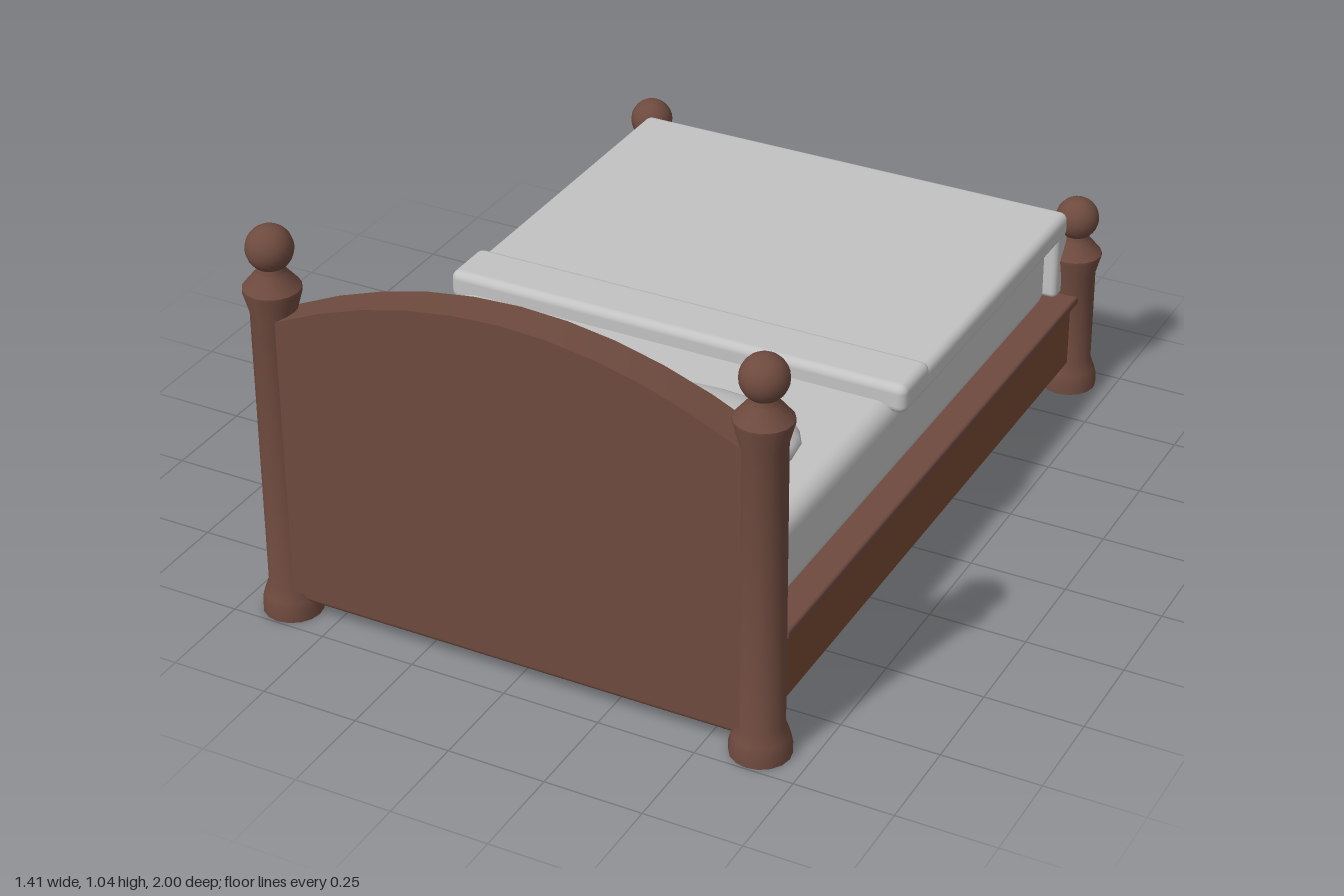
import * as THREE from 'three';
import { toCreasedNormals } from 'three/addons/utils/BufferGeometryUtils.js';
import { RoundedBoxGeometry } from 'three/addons/geometries/RoundedBoxGeometry.js';

export function createModel() {
  const bed = new THREE.Group();
  bed.name = 'bed';

  const mat = (name, color) => {
    const m = new THREE.MeshStandardMaterial({ color });
    m.name = name;
    return m;
  };
  const wood = mat('dark wood', 0x6e4a3e);
  const railWood = mat('rail wood', 0x744830);
  const panelWood = mat('golden panel wood', 0x94703f);
  const linen = mat('grey linen', 0xc2c2c2);

  const add = (name, geometry, material, x = 0, y = 0, z = 0, parent = bed) => {
    const mesh = new THREE.Mesh(geometry, material);
    mesh.name = name;
    mesh.position.set(x, y, z);
    parent.add(mesh);
    return mesh;
  };

  // Box given by its extents on each axis, optionally with rounded edges
  const box = (name, material, [x0, x1], [y0, y1], [z0, z1], radius = 0) => {
    const size = [x1 - x0, y1 - y0, z1 - z0];
    const geometry = radius
      ? new RoundedBoxGeometry(...size, 3, radius)
      : new THREE.BoxGeometry(...size);
    return add(name, geometry, material, (x0 + x1) / 2, (y0 + y1) / 2, (z0 + z1) / 2);
  };

  // Upright board with an arched top edge
  const archedBoard = (name, material, halfWidth, bottom, side, peak, z0, z1) => {
    const shape = new THREE.Shape();
    shape.moveTo(-halfWidth, bottom);
    shape.lineTo(halfWidth, bottom);
    for (let i = 0; i <= 10; i++) {
      const t = 1 - i / 5;
      shape.lineTo(halfWidth * t, peak - (peak - side) * t * t);
    }
    shape.closePath();
    const geometry = new THREE.ExtrudeGeometry(shape, { depth: z1 - z0, bevelEnabled: false });
    return add(name, toCreasedNormals(geometry, 0.5), material, 0, 0, z0);
  };

  // Turned post: wide foot, slim shaft, flared collar and a ball on top
  const post = (name, x, z, collar) => {
    const group = new THREE.Group();
    group.name = name;
    group.position.set(x, 0, z);
    const profile = [
      [0, 0], [0.074, 0], [0.074, 0.03], [0.068, 0.052], [0.057, 0.082],
      [0.056, collar - 0.06], [0.07, collar - 0.008], [0.07, collar],
      [0.035, collar + 0.042], [0.03, collar + 0.07], [0, collar + 0.07],
    ].map(([r, y]) => new THREE.Vector2(r, y));
    add('turnedShaft', toCreasedNormals(new THREE.LatheGeometry(profile, 16), 0.6), wood, 0, 0, 0, group);
    add('ballFinial', new THREE.SphereGeometry(0.057, 20, 14), wood, 0, collar + 0.1, 0, group);
    bed.add(group);
  };
  for (const side of [-1, 1]) {
    const label = side > 0 ? 'left' : 'right';
    post(`${label}HeadPost`, side * 0.63, 0.922, 0.887);
    post(`${label}FootPost`, side * 0.63, -0.925, 0.397);
  }

  // Headboard and footboard with raised panels and lower bars
  archedBoard('headboard', wood, 0.6, 0.08, 0.82, 0.97, 0.87, 0.967);
  archedBoard('headboardPanel', panelWood, 0.525, 0.26, 0.74, 0.86, 0.848, 0.87);
  box('headboardLowerBar', wood, [-0.6, 0.6], [0.046, 0.084], [0.885, 0.952], 0.015);
  box('footboard', wood, [-0.6, 0.6], [0.08, 0.395], [-0.973, -0.902]);
  box('footboardLowerBar', wood, [-0.6, 0.6], [0.05, 0.084], [-0.96, -0.915], 0.015);
  box('footboardPanel', panelWood, [-0.52, 0.52], [0.155, 0.345], [-0.99, -0.97], 0.006);

  // Frame and the ledge around its top
  box('bedFrame', railWood, [-0.645, 0.645], [0.09, 0.267], [-0.91, 0.84]);
  box('frameLedge', wood, [-0.662, 0.662], [0.265, 0.292], [-0.905, 0.85], 0.008);

  // Mattress and bedding
  box('mattress', linen, [-0.6, 0.6], [0.29, 0.5], [-0.815, 0.79], 0.045);
  box('blanket', linen, [-0.622, 0.622], [0.46, 0.53], [-0.89, 0.075], 0.022);
  box('blanketFootDrop', linen, [-0.615, 0.615], [0.29, 0.515], [-0.905, -0.835], 0.015);
  box('blanketFold', linen, [-0.628, 0.628], [0.472, 0.55], [0.008, 0.16], 0.022);

  // Pillows: plump ellipsoids slightly squared in plan
  for (const side of [-1, 1]) {
    const geometry = new THREE.SphereGeometry(1, 20, 12);
    const p = geometry.attributes.position;
    for (let i = 0; i < p.count; i++) {
      const x = p.getX(i), z = p.getZ(i);
      const plump = 1 + 0.3 * x * x * z * z;
      p.setXYZ(i, x * plump * 0.252, p.getY(i) * 0.07, z * plump * 0.15);
    }
    geometry.computeVertexNormals();
    add(side > 0 ? 'leftPillow' : 'rightPillow', geometry, linen, side * 0.278, 0.562, 0.555);
  }

  // Mattress buttons
  for (const x of [-0.345, 0, 0.345]) {
    add('mattressButton', new THREE.SphereGeometry(0.022, 12, 8), linen, x, 0.5, 0.342).scale.y = 0.6;
  }

  return bed;
}
